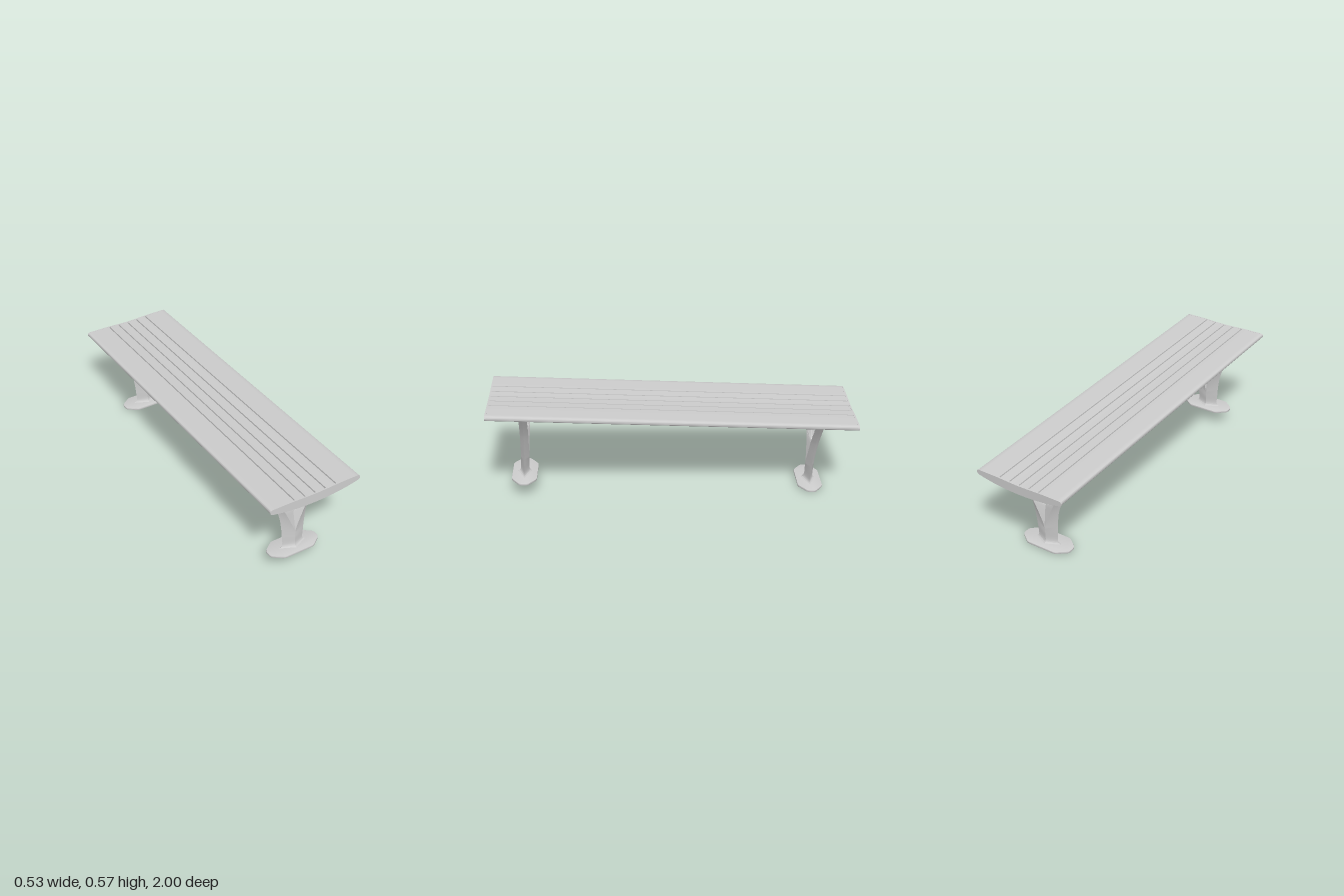
import * as THREE from 'three';
import { toCreasedNormals } from 'three/addons/utils/BufferGeometryUtils.js';

const TILT = 0.0515;      // the bench runs down a gentle slope
const SEAT_TOP = 0.5205;  // height of the seat surface at mid length
const LENGTH = 1.998;
const LEG_Z = 0.806;

const mat = new THREE.MeshStandardMaterial({ color: 0xcccccc });

function add(parent, geometry, name, crease = 0.5) {
  const mesh = new THREE.Mesh(toCreasedNormals(geometry, crease), mat);
  mesh.name = name;
  parent.add(mesh);
  return mesh;
}

// Shallow dip of the seat surface across its width
const dip = (x) => (Math.abs(x) > 0.17 ? 0 : -0.0025 * (1 + Math.cos((Math.PI * x) / 0.17)));

function extrudeZ(shape, depth) {
  const g = new THREE.ExtrudeGeometry(shape, { depth, bevelEnabled: false, curveSegments: 10 });
  return g.translate(0, 0, -depth / 2);
}

function topLine(shape, x0, x1, offset, steps = 8) {
  for (let i = 0; i <= steps; i++) {
    const x = x0 + ((x1 - x0) * i) / steps;
    shape.lineTo(x, dip(x) + offset);
  }
}

// Narrow seat slat between x0 and x1
function slatShape(x0, x1) {
  const s = new THREE.Shape();
  s.moveTo(x0, dip(x0) - 0.024);
  topLine(s, x0, x1, 0);
  topLine(s, x1, x0, -0.024);
  return s;
}

// Wide outer slat with a rolled lip
function edgeSlatShape() {
  const s = new THREE.Shape();
  s.moveTo(0.1255, dip(0.1255) - 0.023);
  topLine(s, 0.1255, 0.25, 0);
  s.bezierCurveTo(0.259, 0, 0.263, -0.006, 0.263, -0.013);
  s.bezierCurveTo(0.263, -0.022, 0.258, -0.028, 0.249, -0.028);
  s.quadraticCurveTo(0.24, -0.028, 0.236, -0.022);
  s.lineTo(0.2, -0.022);
  return s;
}

// Crescent plate closing each end of the seat
function endCapShape() {
  const s = new THREE.Shape();
  s.moveTo(-0.25, 0);
  topLine(s, -0.25, 0.25, 0.0005, 24);
  s.bezierCurveTo(0.26, 0, 0.265, -0.006, 0.265, -0.013);
  s.bezierCurveTo(0.265, -0.022, 0.26, -0.026, 0.25, -0.029);
  s.bezierCurveTo(0.1, -0.066, -0.1, -0.066, -0.25, -0.029);
  s.bezierCurveTo(-0.26, -0.026, -0.265, -0.022, -0.265, -0.013);
  s.bezierCurveTo(-0.265, -0.006, -0.26, 0, -0.25, 0);
  return s;
}

// Flat bar with round ends, bent to follow the underside of the slats
function crossbarGeometry() {
  const r = 0.025, half = 0.19, n = 16, pts = [];
  for (const side of [1, -1]) {
    for (let i = 0; i < n; i++) pts.push(new THREE.Vector2(side * (-half + (2 * half * i) / n), -side * r));
    for (let i = 0; i < 10; i++) {
      const a = -Math.PI / 2 + (Math.PI * i) / 10;
      pts.push(new THREE.Vector2(side * (half + r * Math.cos(a)), side * r * Math.sin(a)));
    }
  }
  const g = new THREE.ExtrudeGeometry(new THREE.Shape(pts), { depth: 0.012, bevelEnabled: false });
  g.rotateX(-Math.PI / 2).translate(0, -0.034, 0);
  const p = g.attributes.position;
  for (let i = 0; i < p.count; i++) p.setY(i, p.getY(i) + 1.8 * dip(p.getX(i)));
  return g;
}

// Half of the forked leg: outer edge, ridge and inner edge tracks [x, y, z]
const OUTER = [[0.084, 0.095, 0], [0.065, 0.107, 0], [0.066, 0.17, 0], [0.071, 0.23, 0], [0.082, 0.3, 0],
  [0.102, 0.36, 0], [0.118, 0.393, 0], [0.145, 0.44, 0], [0.203, 0.528, 0]];
const RIDGE = [[0, 0.095, 0.042], [0, 0.107, 0.027], [0.001, 0.16, 0.024], [0.004, 0.205, 0.024], [0.032, 0.275, 0.023],
  [0.062, 0.342, 0.023], [0.08, 0.375, 0.023], [0.115, 0.43, 0.023], [0.185, 0.528, 0.022]];
const INNER = [[0, 0.095, 0.042], [0, 0.107, 0.027], [0, 0.16, 0.024], [0, 0.205, 0.023], [0, 0.265, 0.014],
  [0.002, 0.325, 0.003], [0.023, 0.342, 0.002], [0.062, 0.392, 0.002], [0.164, 0.528, 0.002]];

function halfLegGeometry() {
  const [outer, ridge, inner] = [OUTER, RIDGE, INNER].map(
    (t) => new THREE.CatmullRomCurve3(t.map(([x, y, z]) => new THREE.Vector3(x, y - 0.562, z))));
  const steps = 40, pos = [], idx = [];
  for (let i = 0; i <= steps; i++) {
    const [o, r, n] = [outer, ridge, inner].map((c) => c.getPoint(i / steps));
    const ring = [[o, 0], [r, 1], [n, 1], [n, -1], [r, -1]];
    for (const [v, s] of ring) pos.push(Math.max(0, v.x), v.y, v.z * s);
  }
  for (let i = 0; i < steps; i++) {
    for (let j = 0; j < 5; j++) {
      const a = i * 5 + j, b = i * 5 + ((j + 1) % 5);
      idx.push(a, b + 5, b, a, a + 5, b + 5);
    }
  }
  const g = new THREE.BufferGeometry();
  g.setAttribute('position', new THREE.Float32BufferAttribute(pos, 3));
  g.setIndex(idx);
  g.computeVertexNormals();
  return g;
}

// Six-sided foot plate with rounded corners
function footPlateGeometry() {
  const corners = [[0.088, -0.068], [0.148, -0.022], [0.148, 0.022], [0.088, 0.068],
    [-0.088, 0.068], [-0.148, 0.022], [-0.148, -0.022], [-0.088, -0.068]].map((c) => new THREE.Vector2(...c));
  const s = new THREE.Shape();
  corners.forEach((c, i) => {
    const prev = corners[(i + 7) % 8], next = corners[(i + 1) % 8];
    const a = c.clone().lerp(prev, 0.014 / c.distanceTo(prev));
    const b = c.clone().lerp(next, 0.014 / c.distanceTo(next));
    if (i === 0) s.moveTo(a.x, a.y); else s.lineTo(a.x, a.y);
    s.quadraticCurveTo(c.x, c.y, b.x, b.y);
  });
  s.closePath();
  const g = new THREE.ExtrudeGeometry(s, {
    depth: 0.008, bevelThickness: 0.002, bevelSize: 0.002, bevelSegments: 2, curveSegments: 5 });
  return g.rotateX(-Math.PI / 2).translate(0, -0.475, 0);
}

export function createModel() {
  const model = new THREE.Group();
  model.name = 'bench';
  const body = new THREE.Group();
  body.name = 'benchBody';
  body.position.set(0, SEAT_TOP, -0.0014);
  body.rotation.x = -TILT;
  model.add(body);

  // Seat slats, mirrored about the middle gap
  const seat = new THREE.Group();
  seat.name = 'seat';
  body.add(seat);
  for (const side of [1, -1]) {
    const shapes = [slatShape(0.0035, 0.0565), slatShape(0.0635, 0.1185), edgeSlatShape()];
    shapes.forEach((shape, i) => {
      const slat = add(seat, extrudeZ(shape, LENGTH - 0.016), i < 2 ? 'slat' : 'edgeSlat');
      slat.scale.x = side;
    });
    const cap = add(seat, extrudeZ(endCapShape(), 0.008), 'endCap');
    cap.position.z = side * (LENGTH / 2 - 0.004);
  }

  // Crossbars under the slats
  for (const z of [-LEG_Z, -0.27, 0.27, LEG_Z]) {
    add(body, crossbarGeometry(), 'crossbar').position.z = z;
  }

  // Forked legs on foot plates
  for (const z of [-LEG_Z, LEG_Z]) {
    const leg = new THREE.Group();
    leg.name = 'leg';
    leg.position.z = z;
    for (const side of [1, -1]) add(leg, halfLegGeometry(), 'forkedPost', 0.45).scale.x = side;
    add(leg, footPlateGeometry(), 'footPlate');
    body.add(leg);
  }
  return model;
}
